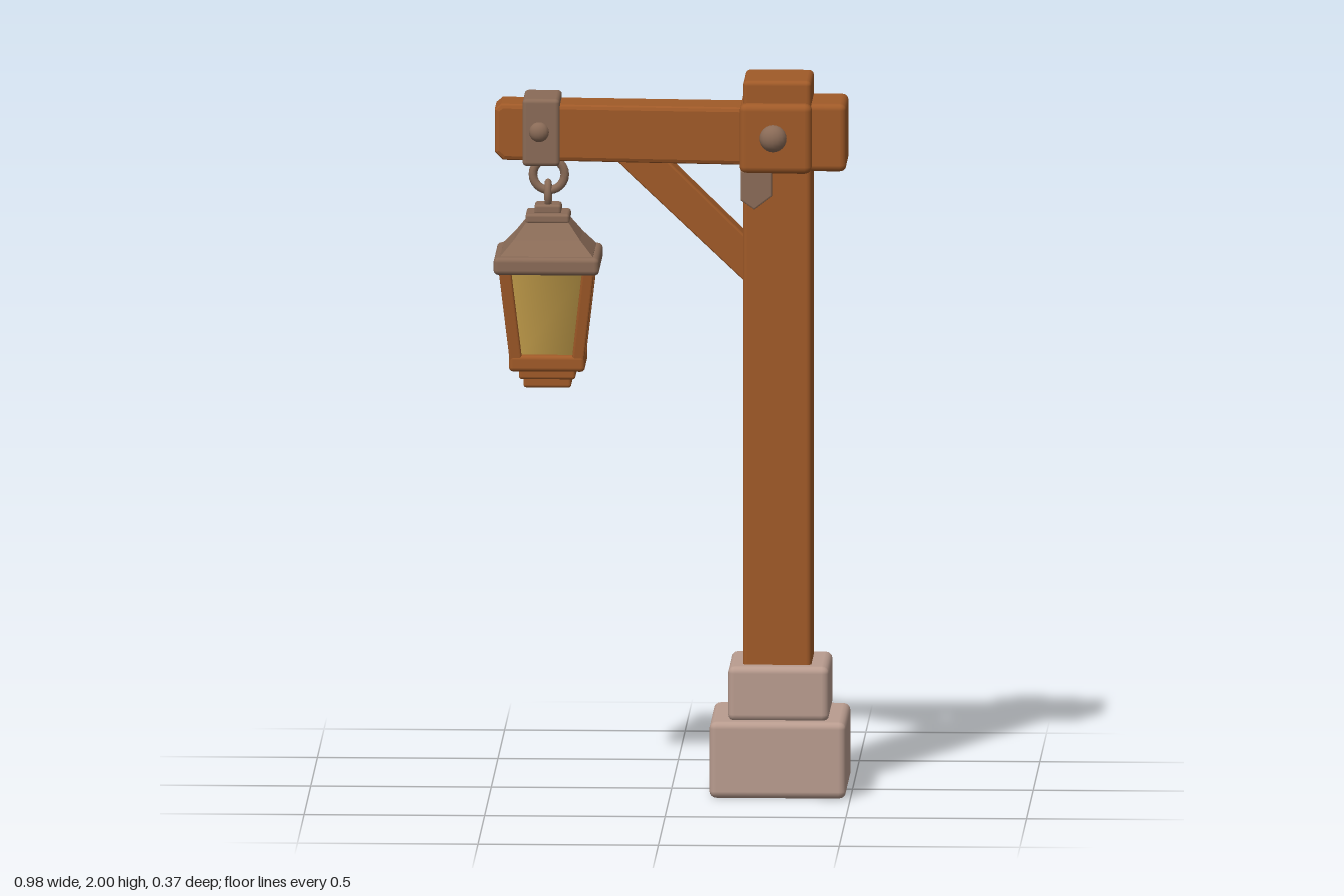
import * as THREE from 'three';
import { RoundedBoxGeometry } from 'three/addons/geometries/RoundedBoxGeometry.js';

const mat = (name, color) => Object.assign(new THREE.MeshStandardMaterial({ color }), { name });

export function createModel() {
  const root = new THREE.Group();
  root.name = 'lanternPost';
  const wood = mat('wood', 0xa05a28);
  const stone = mat('stone', 0xb99c8f);
  const iron = mat('iron', 0x8a6b57);
  const glass = mat('amberGlass', 0xd0a850);

  const add = (parent, name, geo, material, x = 0, y = 0, z = 0) => {
    const m = new THREE.Mesh(geo, material);
    m.name = name;
    m.position.set(x, y, z);
    parent.add(m);
    return m;
  };
  // Rounded block given by its x, y and z ranges
  const block = (parent, name, material, [x0, x1], [y0, y1], [z0, z1], r = 0.015) =>
    add(parent, name, new RoundedBoxGeometry(x1 - x0, y1 - y0, z1 - z0, 2, r), material,
      (x0 + x1) / 2, (y0 + y1) / 2, (z0 + z1) / 2);
  // Extruded outline, centred on z
  const plate = (parent, name, material, pts, depth, z, bevel) => {
    const geo = new THREE.ExtrudeGeometry(new THREE.Shape(pts.map(p => new THREE.Vector2(...p))), {
      depth: depth - 2 * bevel, bevelEnabled: true, bevelSize: bevel, bevelOffset: -bevel,
      bevelThickness: bevel, bevelSegments: 2,
    });
    geo.translate(0, 0, -depth / 2 + bevel);
    return add(parent, name, geo, material, 0, 0, z);
  };

  // Stone footing
  block(root, 'lowerBase', stone, [0.11, 0.488], [0, 0.215], [-0.188, 0.185], 0.02);
  block(root, 'upperBase', stone, [0.16, 0.44], [0.21, 0.365], [-0.15, 0.15], 0.02);

  // Upright post with its joint collar
  block(root, 'post', wood, [0.2, 0.39], [0.34, 2], [-0.107, 0.11], 0.014);
  block(root, 'collar', wood, [0.191, 0.392], [1.742, 1.938], [-0.14, 0.136], 0.02);

  // Cross beam, tapering slightly to its chamfered free end
  plate(root, 'beam', wood, [
    [0.25, 1.757], [0.25, 1.918], [-0.47, 1.925], [-0.488, 1.91], [-0.488, 1.79], [-0.465, 1.768],
  ], 0.148, 0, 0.012);
  block(root, 'beamEnd', wood, [0.375, 0.486], [1.745, 1.935], [-0.105, 0.106], 0.018);

  // Diagonal brace
  plate(root, 'brace', wood, [
    [0.21, 1.42], [0.21, 1.55], [-0.02, 1.775], [-0.165, 1.775],
  ], 0.085, 0, 0.006);

  // Iron strap round the beam and pointed tag under the collar
  block(root, 'strap', iron, [-0.411, -0.308], [1.753, 1.942], [-0.09, 0.09], 0.012);
  plate(root, 'tag', iron, [
    [0.194, 1.75], [0.194, 1.668], [0.232, 1.642], [0.282, 1.68], [0.282, 1.75],
  ], 0.026, 0.114, 0.004);

  // Domed rivets, front and back
  const rivet = new THREE.SphereGeometry(1, 16, 12);
  for (const s of [1, -1]) {
    add(root, 'collarRivet', rivet, iron, 0.285, 1.843, s * 0.136).scale.set(0.038, 0.038, 0.032);
    add(root, 'strapRivet', rivet, iron, -0.365, 1.85, s * 0.088).scale.set(0.028, 0.028, 0.022);
  }

  // Hanging lantern
  const lantern = new THREE.Group();
  lantern.name = 'lantern';
  lantern.position.x = -0.343;
  root.add(lantern);
  const square = (name, material, half, y0, y1, r = 0.008) =>
    block(lantern, name, material, [-half, half], [y0, y1], [-half, half], r);

  // Chain links
  add(lantern, 'ring', new THREE.TorusGeometry(0.044, 0.012, 10, 24), iron, 0.002, 1.718, 0);
  const link = add(lantern, 'link', new THREE.TorusGeometry(0.026, 0.01, 10, 20), iron, 0, 1.663, 0);
  link.rotation.y = Math.PI / 2;
  link.scale.y = 1.2;

  // Square, flared roof
  const profile = [[0.132, 1.495], [0.128, 1.507], [0.092, 1.547], [0.056, 1.595]]
    .map(([h, y]) => new THREE.Vector2(h * Math.SQRT2, y));
  const roof = new THREE.LatheGeometry(profile, 4, Math.PI / 4).toNonIndexed();
  roof.computeVertexNormals();
  add(lantern, 'roof', roof, iron);
  square('eave', iron, 0.146, 1.456, 1.506, 0.014);
  square('roofCap', iron, 0.061, 1.588, 1.615);
  square('roofKnob', iron, 0.037, 1.61, 1.638);

  // Tapered glass
  add(lantern, 'glass', new THREE.CylinderGeometry(
    0.114 * Math.SQRT2, 0.083 * Math.SQRT2, 0.26, 4, 1, true, Math.PI / 4), glass, 0, 1.34, 0);

  // Corner bars leaning outwards
  for (const sx of [1, -1]) for (const sz of [1, -1]) {
    const bar = new RoundedBoxGeometry(0.034, 0.26, 0.034, 2, 0.006);
    const p = bar.attributes.position;
    for (let i = 0; i < p.count; i++) {
      const off = 0.1 + 0.115 * p.getY(i);
      p.setXYZ(i, p.getX(i) + sx * off, p.getY(i), p.getZ(i) + sz * off);
    }
    bar.computeVertexNormals();
    add(lantern, 'cornerBar', bar, wood, 0, 1.335, 0);
  }

  // Stepped lantern floor
  square('tray', wood, 0.105, 1.18, 1.226, 0.012);
  square('trayStep', wood, 0.078, 1.155, 1.19);
  square('trayFoot', wood, 0.066, 1.13, 1.165);

  return root;
}
